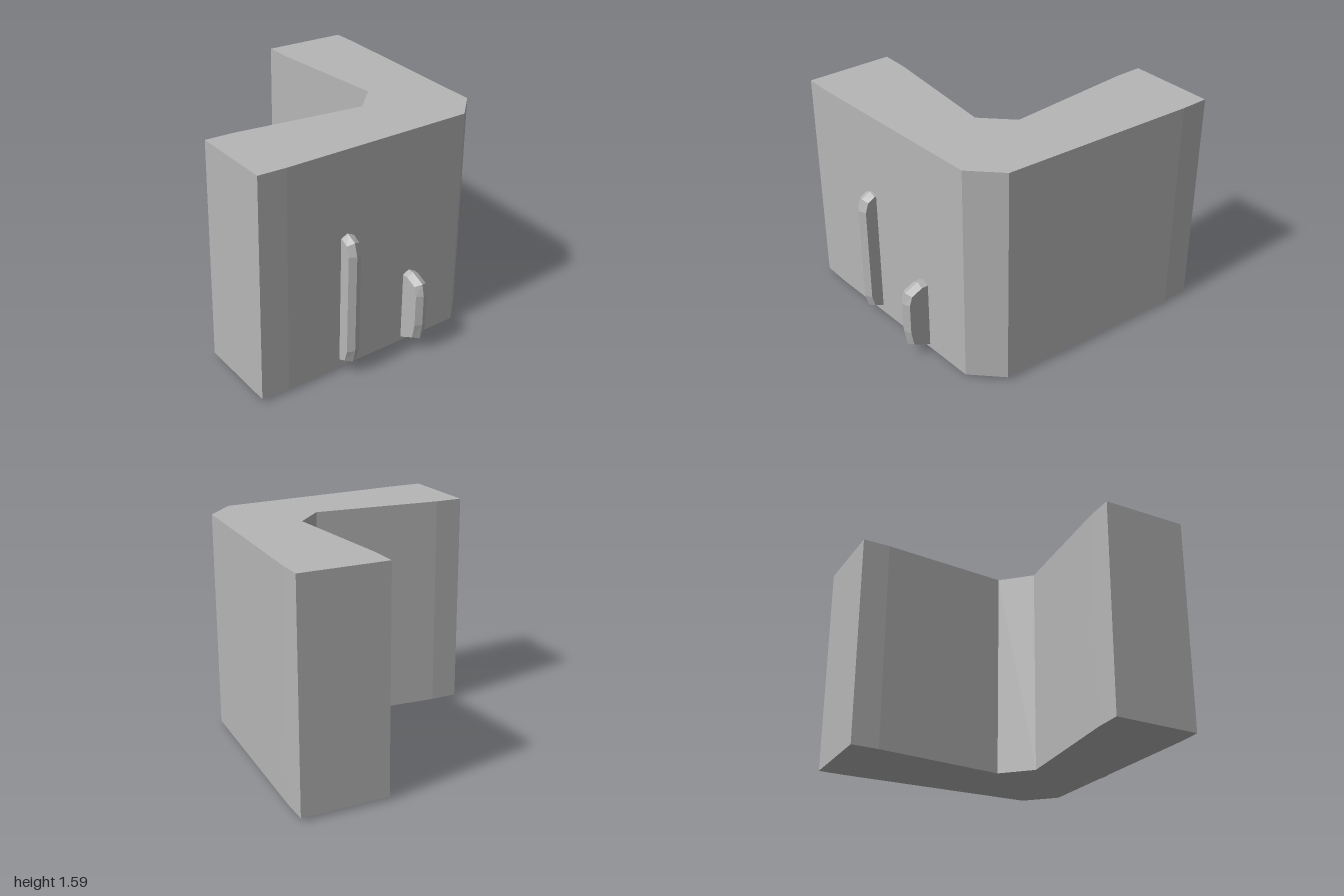
import * as THREE from 'three';

const stone = new THREE.MeshStandardMaterial({ color: 0xb6b6b6 });
stone.name = 'plain grey';

// L-shaped corner wall, extruded upward from its footprint (x, z)
function cornerWall() {
  const footprint = [
    [-0.94, 0.88], [-0.74, 0.88], [0.67, 0.81], [0.867, 0.61], [0.935, -0.8], [0.935, -1],
    [0.315, -1], [0.315, -0.8], [0.39, 0.14], [0.192, 0.34], [-0.74, 0.26], [-0.94, 0.26],
  ];
  const shape = new THREE.Shape(footprint.map(([x, z]) => new THREE.Vector2(x, -z)));
  const geo = new THREE.ExtrudeGeometry(shape, { depth: 1.565, bevelEnabled: false });
  geo.rotateX(-Math.PI / 2).translate(0, 0.025, 0);

  // the inner corner leans out very slightly at the foot
  const p = geo.attributes.position;
  for (let i = 0; i < p.count; i++) {
    const x = p.getX(i), z = p.getZ(i);
    if (p.getY(i) < 0.1 && x > 0.1 && x < 0.4 && z > 0 && z < 0.4) {
      p.setXYZ(i, x - 0.006, p.getY(i), z - 0.006);
    }
  }
  geo.computeVertexNormals();
  const mesh = new THREE.Mesh(geo, stone);
  mesh.name = 'cornerWall';
  return mesh;
}

// Upright rib with a pointed front; stations run upward as
// [ridge z, ridge y, side z, side y]
function rib(name, cx, stations) {
  const half = 0.048, back = 0.77;
  const rows = stations.map(([rz, ry, sz, sy]) => [
    [cx - half, sy, back], [cx - half, sy, sz], [cx, ry, rz],
    [cx + half, sy, sz], [cx + half, sy, back],
  ]);
  const pos = [];
  for (let i = 0; i < rows.length - 1; i++) {
    for (let j = 0; j < 4; j++) {
      const a = rows[i][j], b = rows[i][j + 1], c = rows[i + 1][j + 1], d = rows[i + 1][j];
      pos.push(...a, ...b, ...c, ...a, ...c, ...d);
    }
  }
  const geo = new THREE.BufferGeometry();
  geo.setAttribute('position', new THREE.Float32BufferAttribute(pos, 3));
  geo.computeVertexNormals();
  const mesh = new THREE.Mesh(geo, stone);
  mesh.name = name;
  return mesh;
}

export function createModel() {
  const group = new THREE.Group();
  group.name = 'wallCorner';
  group.add(
    cornerWall(),
    rib('tallRib', -0.283, [
      [0.77, 0.03, 0.77, 0.045],
      [0.945, 0.098, 0.92, 0.11],
      [0.968, 0.19, 0.943, 0.19],
      [0.968, 0.893, 0.943, 0.893],
      [0.94, 0.98, 0.92, 0.962],
      [0.87, 1.012, 0.87, 0.99],
      [0.77, 1.015, 0.77, 0.993],
    ]),
    rib('shortRib', 0.248, [
      [0.77, 0, 0.77, 0.022],
      [0.98, 0.102, 0.957, 0.115],
      [1.0, 0.22, 0.977, 0.22],
      [1.0, 0.445, 0.977, 0.445],
      [0.98, 0.527, 0.957, 0.51],
      [0.877, 0.57, 0.877, 0.546],
      [0.77, 0.572, 0.77, 0.548],
    ]),
  );
  return group;
}
